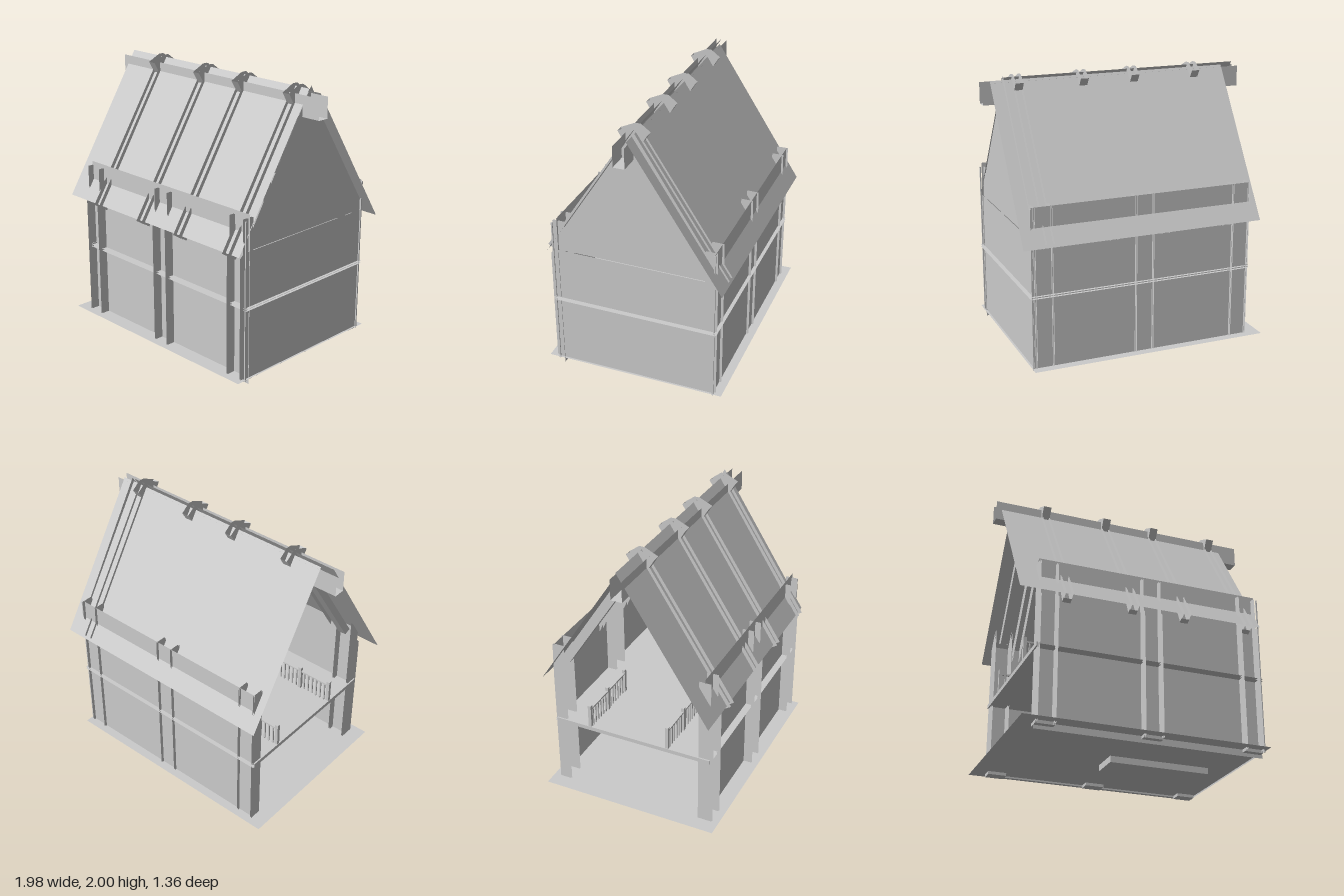
import * as THREE from 'three';

const material = new THREE.MeshStandardMaterial({ color: 0xcccccc, side: THREE.DoubleSide, flatShading: true });

export function createModel() {
  const house = new THREE.Group();

  const add = (name, geometry) => {
    const mesh = new THREE.Mesh(geometry, material);
    mesh.name = name;
    house.add(mesh);
  };
  // Box given by its limits on each axis
  const box = (name, x0, x1, y0, y1, z0, z1) => {
    const g = new THREE.BoxGeometry(x1 - x0, y1 - y0, z1 - z0);
    g.translate((x0 + x1) / 2, (y0 + y1) / 2, (z0 + z1) / 2);
    add(name, g);
  };
  // Thin sheet: a line of [z, y] points drawn out from x0 to x1
  const sheet = (name, points, x0, x1) => {
    const v = [];
    for (let i = 0; i + 1 < points.length; i++) {
      const [[z0, y0], [z1, y1]] = [points[i], points[i + 1]];
      v.push(x0, y0, z0, x1, y0, z0, x1, y1, z1, x0, y0, z0, x1, y1, z1, x0, y1, z1);
    }
    const g = new THREE.BufferGeometry();
    g.setAttribute('position', new THREE.Float32BufferAttribute(v, 3));
    g.computeVertexNormals();
    add(name, g);
  };
  // Thin upright panel of [z, y] points across the house at x
  const panel = (name, points, x) => {
    const g = new THREE.ShapeGeometry(new THREE.Shape(points.map(([z, y]) => new THREE.Vector2(z, y))));
    g.rotateY(-Math.PI / 2);
    g.translate(x, 0, 0);
    add(name, g);
  };

  // Ground floor and the block below it
  sheet('groundFloor', [[0.68, 0.047], [-0.66, 0.047]], -0.91, 0.86);
  box('floorBlock', -0.1, 0.65, 0, 0.046, -0.1, 0.12);

  // Long walls, which rise through the roof
  sheet('frontWall', [[0.565, 0], [0.565, 1.24]], -0.8, 0.85);
  sheet('backWall', [[-0.595, 0.035], [-0.595, 1.21]], -0.8, 0.85);

  // Columns made of paired upright panels with a foot
  for (const [x0, x1] of [[-0.8, -0.665], [-0.05, 0.09], [0.7, 0.835]]) {
    for (const x of [x0, x1]) {
      for (const inset of [0, 0.01]) {
        const px = x === x0 ? x + inset : x - inset;
        panel('frontColumn', [[0.52, 0.025], [0.61, 0.025], [0.61, 0.035], [0.63, 0.035], [0.63, 0.94], [0.605, 0.96], [0.605, 1.21], [0.52, 1.21]], px);
        panel('backColumn', [[-0.52, 0.025], [-0.605, 0.025], [-0.61, 0.035], [-0.61, 0.94], [-0.605, 1.21], [-0.52, 1.21]], px);
      }
    }
    for (const side of [1, -1]) {
      sheet('columnFoot', [[side * 0.52, 0.047], [side * 0.52, 0.025], [side * 0.605, 0.025], [side * 0.605, 0.047]], x0, x1);
    }
  }

  // Rails around the walls, level with the loft
  for (const y of [0.565, 0.58]) {
    sheet('frontRail', [[0.565, y], [0.61, y]], -0.81, 0.86);
    sheet('backRail', [[-0.595, y], [-0.615, y]], -0.81, 0.86);
    sheet('gableRail', [[0.61, y], [-0.6, y]], 0.845, 0.865);
  }

  // Closed gable end; the opposite end is open
  panel('gableWall', [[-0.6, 0.035], [0.61, 0.035], [0.61, 0.98], [-0.6, 0.98]], 0.845);
  panel('gableTop', [[-0.6, 0.98], [0.61, 0.98], [0.52, 1.14], [-0.02, 2], [-0.52, 1.21], [-0.6, 1.07]], 0.838);
  for (const z of [-0.6, 0.598]) box('gableStrip', 0.846, 0.855, 0.035, 1.2, z, z + 0.01);

  // Loft floor with its edge beam
  sheet('loftFloor', [[0.565, 0.575], [-0.595, 0.575]], -0.79, 0.838);
  box('loftBeam', -0.81, -0.785, 0.56, 0.59, -0.6, 0.61);

  // Loft railings
  for (const z of [0.28, -0.33]) {
    box('handrail', -0.8, -0.28, 0.725, 0.737, z - 0.008, z + 0.008);
    for (let i = 0; i <= 14; i++) {
      const x = -0.795 + i * 0.037;
      const post = i % 7 === 0;
      const r = post ? 0.012 : 0.005;
      box(post ? 'railPost' : 'baluster', x - r, x + r, 0.575, post ? 0.765 : 0.73, z - r, z + r);
    }
  }

  // Two roof sheets, shifted sideways against each other
  sheet('frontRoof', [[0, 1.982], [0.657, 0.958]], -0.95, 0.84);
  sheet('backRoof', [[-0.01, 1.965], [-0.675, 0.942]], -0.855, 0.93);

  // Ridge beam, a trough open at the top
  sheet('ridgeBeam', [[0.063, 1.95], [0.063, 1.8], [-0.02, 1.8], [-0.02, 1.95]], -0.99, 0.985);

  // Rafters as paired panels, with hooked ends at the ridge and eaves
  const cap = [[0.07, 1.87], [0.12, 1.953], [0.02, 2], [-0.02, 2], [-0.088, 1.95], [-0.052, 1.89], [0, 1.93]];
  for (const x of [-0.61, -0.13, 0.26, 0.74]) {
    const proud = x > 0.7 ? 0.018 : -0.002;
    for (const edge of [x - 0.03, x - 0.024, x + 0.024, x + 0.03]) {
      panel('ridgeCap', cap, edge);
      panel('frontRafter', [[0.02, 1.982], [0.685, 0.96], [0.615, 0.915], [0.57, 1.02], [0.02, 1.87]], edge);
      panel('backRafter', [[-0.03, 1.935 + proud], [-0.67, 0.95 + proud], [-0.615, 0.915], [-0.57, 1.02], [-0.03, 1.85]], edge);
    }
    sheet('ridgeCapEnd', [[0.12, 1.953], [0.07, 1.87]], x - 0.03, x + 0.03);
    sheet('ridgeCapEnd', [[-0.088, 1.95], [-0.052, 1.89]], x - 0.03, x + 0.03);
    sheet('eavesHook', [[0.64, 0.93], [0.61, 0.912]], x - 0.03, x + 0.03);
  }

  // Heavy braces at the open end
  for (const side of [1, -1]) {
    const brace = [[side * 0.02, 1.9], [side * 0.55, 1.08], [side * 0.5, 1.06], [side * 0.02, 1.8]];
    panel('endBrace', brace, -0.76);
    panel('endBrace', brace, -0.7);
    sheet('endBraceUnderside', brace.slice(2), -0.76, -0.7);
  }

  return house;
}
